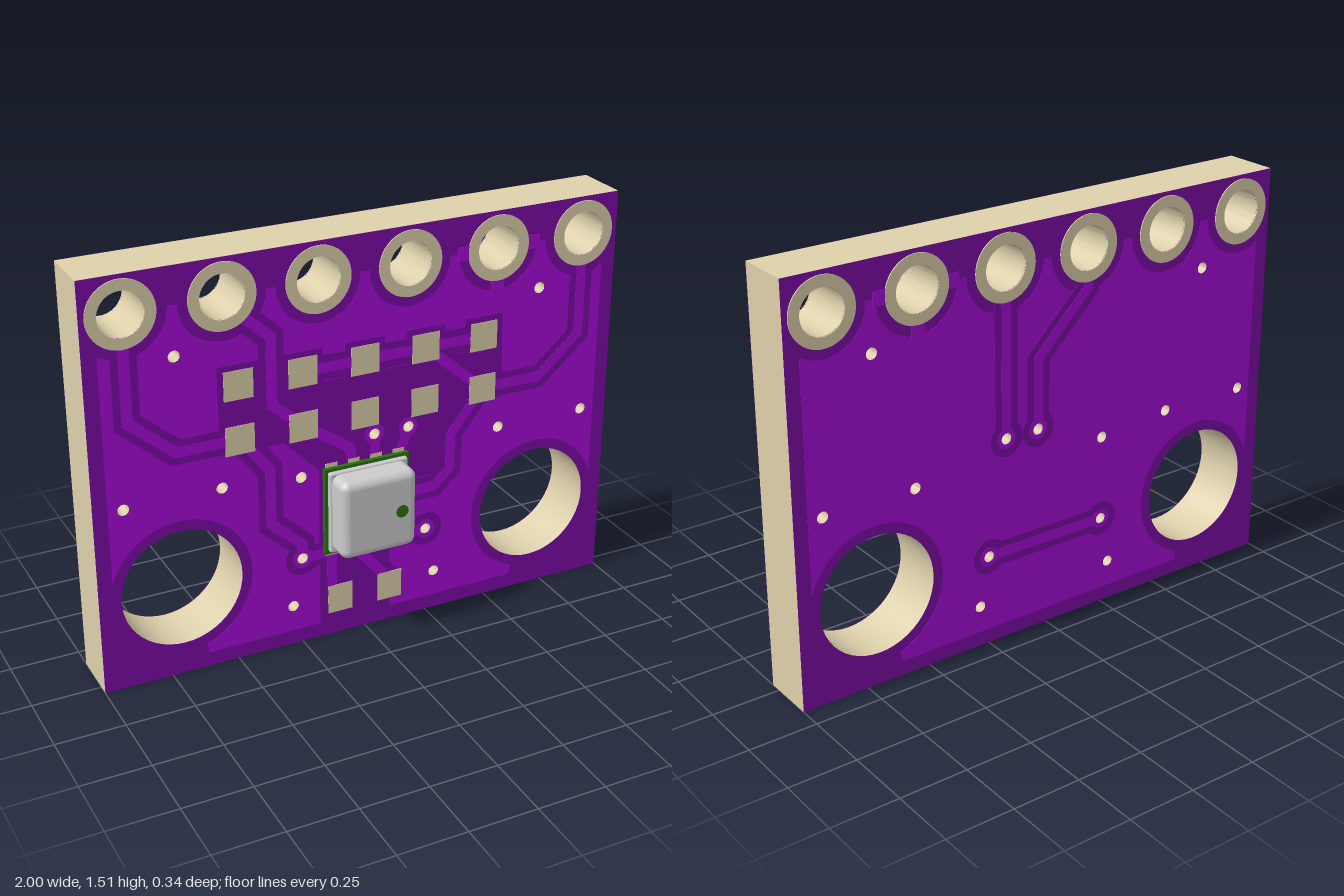
import * as THREE from 'three';
import { toCreasedNormals } from 'three/addons/utils/BufferGeometryUtils.js';
import { RoundedBoxGeometry } from 'three/addons/geometries/RoundedBoxGeometry.js';

const mat = (color) => new THREE.MeshStandardMaterial({ color });
const TAN = mat(0xddd0ab), DARK = mat(0x7d0aa8), BRIGHT = mat(0xa60ad8);
const GREEN = mat(0x2a7010), GREY = mat(0xcccccc);
const H = 1.515, FRONT = 0.04, BACK = -0.165, STEP = 0.001;

// Drill positions: [x, y, radius]
const pins = [-0.861, -0.516, -0.172, 0.172, 0.516, 0.861].map((x) => [x, 1.38, 0.08]);
const mounts = [-0.698, 0.698].map((x) => [x, 0.342, 0.222]);
const vias = [[-0.69, 1.203], [0.69, 1.203], [-0.893, 0.69], [-0.54, 0.69], [0.54, 0.69], [0.893, 0.69],
  [-0.246, 0.663], [0.037, 0.77], [0.171, 0.77], [-0.246, 0.342], [0.246, 0.342],
  [-0.284, 0.155], [0.284, 0.155]].map(([x, y]) => [x, y, 0.021]);
const drills = [...pins, ...mounts, ...vias];

const poly = (pts) => new THREE.Shape(pts.map(([x, y]) => new THREE.Vector2(x, y)));
const rect = (x0, y0, x1, y1) => poly([[x0, y0], [x1, y0], [x1, y1], [x0, y1]]);
const square = (x, y, w, h = w) => rect(x - w / 2, y - h / 2, x + w / 2, y + h / 2);
const disk = (x, y, r) => new THREE.Shape().absarc(x, y, r, 0, Math.PI * 2, false);

// Constant-width track along a polyline, with mitred bends
function ribbon(path, half) {
  const p = path.map(([x, y]) => new THREE.Vector2(x, y));
  const left = [], right = [];
  p.forEach((v, i) => {
    const a = (i ? v.clone().sub(p[i - 1]) : p[1].clone().sub(v)).normalize();
    const b = (i < p.length - 1 ? p[i + 1].clone().sub(v) : a.clone()).normalize();
    const n = new THREE.Vector2(-a.y - b.y, a.x + b.x).normalize();
    n.multiplyScalar(half / (n.y * a.x - n.x * a.y));
    left.push(v.clone().add(n));
    right.unshift(v.clone().sub(n));
  });
  return new THREE.Shape([...right, ...left]);
}

function contains(pts, x, y) {
  let inside = false;
  for (let i = 0, j = pts.length - 1; i < pts.length; j = i++) {
    const a = pts[i], b = pts[j];
    if (a.y > y !== b.y > y && x < ((b.x - a.x) * (y - a.y)) / (b.y - a.y) + a.x) inside = !inside;
  }
  return inside;
}

// Extrudes shapes between two depths, drilling every hole that falls inside them
function plate(name, shapes, z0, z1, material) {
  for (const s of shapes) {
    const pts = s.getPoints(24);
    for (const [x, y, r] of drills) {
      if (contains(pts, x, y)) s.holes.push(new THREE.Path().absarc(x, y, r, 0, Math.PI * 2, true));
    }
  }
  const geo = new THREE.ExtrudeGeometry(shapes, { depth: z1 - z0, bevelEnabled: false, curveSegments: 24 });
  geo.translate(0, 0, z0);
  const mesh = new THREE.Mesh(toCreasedNormals(geo, 0.5), material);
  mesh.name = name;
  return mesh;
}

// Copper fill outline, notched around the pins and the mounting holes
function pourShape() {
  const s = new THREE.Shape();
  pins.forEach(([x, y], i) => {
    s.absarc(x, y, 0.155, Math.PI + (i === 0 ? 0.98 : 0), 2 * Math.PI - (i === 5 ? 0.98 : 0), false);
  });
  s.absarc(0.698, 0.342, 0.26, 0.29, Math.PI * 1.4, false);
  s.lineTo(0.61, 0.055);
  s.lineTo(-0.61, 0.055);
  s.absarc(-0.698, 0.342, 0.26, -Math.PI * 0.4, Math.PI - 0.29, false);
  return s;
}

// Stacked thin layers on one face: mask, fill, clearances, tracks, pads
function face(name, side, { zones = [], traces, ends, pads = [] }) {
  const g = new THREE.Group();
  g.name = name;
  const layer = (part, level, shapes, material) => {
    const d = level * STEP;
    g.add(side > 0 ? plate(part, shapes, FRONT, FRONT + d, material) : plate(part, shapes, BACK - d, BACK, material));
  };
  layer('solderMask', 1, [rect(-1, 0, 1, H)], DARK);
  layer('copperFill', 2, [pourShape()], BRIGHT);
  layer('clearances', 3, [...zones, ...traces.map((t) => ribbon(t, 0.046)),
    ...ends.map(([x, y]) => disk(x, y, 0.066))], DARK);
  const spokes = [rect(0.49, 1.21, 0.542, 1.28), rect(0.355, 1.355, 0.415, 1.405), rect(0.617, 1.355, 0.68, 1.405)];
  layer('traces', 4, [...spokes, ...traces.map((t) => ribbon(t, 0.019)),
    ...ends.map(([x, y]) => disk(x, y, 0.037))], BRIGHT);
  layer('pads', 5, [...pins.map(([x, y]) => disk(x, y, 0.12)), ...pads], TAN);
  return g;
}

export function createModel() {
  const model = new THREE.Group();
  model.add(plate('board', [rect(-1, 0, 1, H)], BACK, FRONT, TAN));

  const columns = [-0.47, -0.235, 0, 0.235, 0.467];
  const sensorPins = [-0.132, -0.045, 0.043, 0.131];

  model.add(face('frontFace', 1, {
    zones: [
      rect(-0.545, 0.81, 0.545, 1.01),
      ...columns.map((x) => square(x, 1.06, 0.15)),
      poly([[-0.32, 0.82], [-0.18, 0.68], [-0.18, 0.33], [0.18, 0.33], [0.18, 0.56], [0.31, 0.56], [0.31, 0.7], [0.4, 0.82]]),
      rect(-0.18, 0.05, 0.1, 0.34),
    ],
    traces: [
      [[-0.861, 1.28], [-0.861, 1.0], [-0.7, 0.86], [-0.47, 0.86]],
      [[0.861, 1.28], [0.861, 1.0], [0.7, 0.86], [0.467, 0.86]],
      [[-0.45, 1.3], [-0.35, 1.21], [-0.35, 0.96], [-0.235, 0.86]],
      [[-0.47, 0.86], [-0.363, 0.72], [-0.363, 0.51], [-0.246, 0.4], [-0.246, 0.369]],
      [[0.467, 0.86], [0.342, 0.7], [0.342, 0.57], [0.28, 0.51], [0.14, 0.51]],
      [[-0.235, 0.86], [-0.06, 0.74], [-0.045, 0.66]],
      [[-0.235, 1.06], [0.467, 1.06]],
      [[0.235, 1.06], [0.467, 0.86]],
      [[0.04, 0.66], [0.037, 0.743]],
      [[0.131, 0.66], [0.162, 0.744]],
      [[-0.132, 0.34], [-0.132, 0.16]],
      [[-0.045, 0.34], [0.1, 0.17]],
      [[0.1, 0.342], [0.22, 0.342]],
      [[-0.1, 0.342], [-0.22, 0.342]],
    ],
    ends: [[0.037, 0.77], [0.171, 0.77], [-0.246, 0.342], [0.246, 0.342]],
    pads: [
      ...columns.flatMap((x) => [square(x, 1.06, 0.107), square(x, 0.858, 0.107)]),
      ...[-0.1, 0.1].map((x) => square(x, 0.145, 0.096, 0.112)),
      ...sensorPins.flatMap((x) => [square(x, 0.67, 0.046, 0.05), square(x, 0.355, 0.046, 0.05)]),
    ],
  }));

  model.add(face('backFace', -1, {
    traces: [
      [[0.172, 1.28], [0.171, 0.797]],
      [[-0.172, 1.28], [-0.172, 1.24], [0.037, 1.03], [0.037, 0.797]],
      [[-0.22, 0.342], [0.22, 0.342]],
    ],
    ends: [[0.171, 0.77], [0.037, 0.77], [-0.246, 0.342], [0.246, 0.342]],
  }));

  // Sensor: green carrier, metal can with a flange, and a vent
  const sensor = new THREE.Group();
  sensor.name = 'sensor';
  const add = (name, geo, material, x, y, z) => {
    const m = new THREE.Mesh(geo, material);
    m.name = name;
    m.position.set(x, y, z);
    sensor.add(m);
    return m;
  };
  add('carrier', new THREE.BoxGeometry(0.33, 0.336, 0.018), GREEN, 0, 0.512, 0.051);
  add('canFlange', new RoundedBoxGeometry(0.306, 0.314, 0.024, 3, 0.008), GREY, 0, 0.512, 0.066);
  add('can', new RoundedBoxGeometry(0.292, 0.3, 0.117, 5, 0.032), GREY, 0, 0.512, 0.1085);
  const vent = add('vent', new THREE.CylinderGeometry(0.024, 0.024, 0.004, 24), GREEN, 0.085, 0.512, 0.166);
  vent.rotation.x = Math.PI / 2;
  model.add(sensor);
  return model;
}
